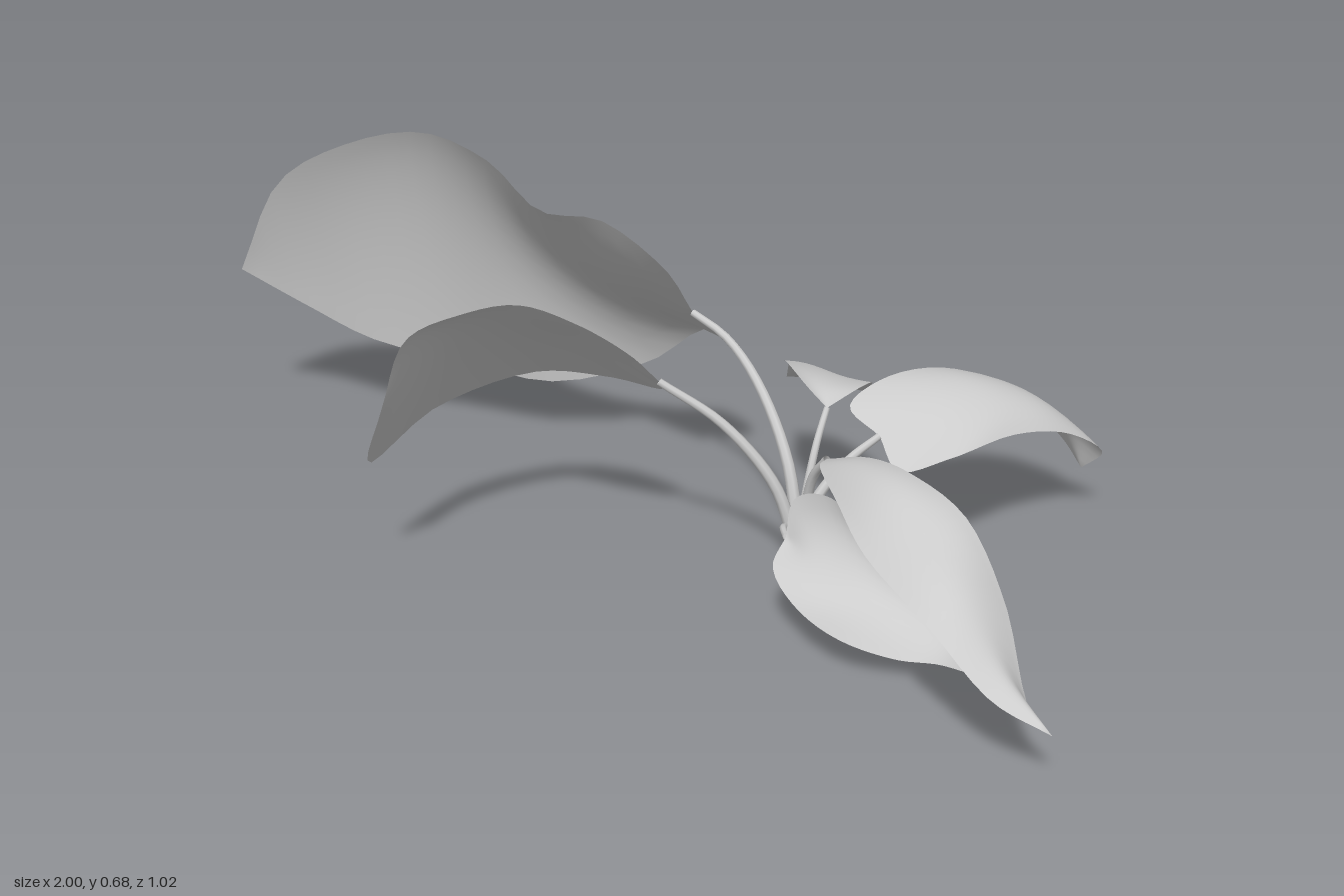
import * as THREE from 'three';
import { mergeVertices } from 'three/addons/utils/BufferGeometryUtils.js';

const leafGrey = new THREE.MeshStandardMaterial({ color: 0xcccccc, side: THREE.DoubleSide });
leafGrey.name = 'leafGrey';

const curve = (pts) => new THREE.CatmullRomCurve3(pts.map((p) => new THREE.Vector3(...p)));

// Blade lofted across three rails: one edge, the midrib and the other edge.
// The edges start at the stem end and meet the midrib again at the tip.
function bladeGeometry(edgeA, midrib, edgeB, rows = 28, cols = 12) {
  const first = midrib[0], tip = midrib[midrib.length - 1];
  const rails = [[first, ...edgeA, tip], midrib, [first, ...edgeB, tip]].map(curve);
  const position = [], index = [];
  for (let i = 0; i <= rows; i++) {
    const [a, m, b] = rails.map((r) => r.getPoint(i / rows));
    for (let j = 0; j <= cols; j++) {
      // quadratic through the three rail points
      const s = (j / cols) * 2 - 1;
      const p = new THREE.Vector3()
        .addScaledVector(a, (s * (s - 1)) / 2)
        .addScaledVector(m, 1 - s * s)
        .addScaledVector(b, (s * (s + 1)) / 2);
      position.push(p.x, p.y, p.z);
    }
  }
  const w = cols + 1;
  for (let i = 0; i < rows; i++) {
    for (let j = 0; j < cols; j++) {
      const k = i * w + j;
      index.push(k, k + 1, k + w, k + 1, k + w + 1, k + w);
    }
  }
  let g = new THREE.BufferGeometry();
  g.setAttribute('position', new THREE.Float32BufferAttribute(position, 3));
  g.setIndex(index);
  g = mergeVertices(g, 1e-5);
  g.computeVertexNormals();
  return g;
}

// Round stem that thins towards the blade
function stemGeometry(pts, r0, r1) {
  const path = curve(pts), rings = 18, sides = 8;
  const g = new THREE.TubeGeometry(path, rings, 1, sides, false);
  const pos = g.attributes.position, v = new THREE.Vector3();
  for (let i = 0; i < pos.count; i++) {
    const t = Math.floor(i / (sides + 1)) / rings;
    const c = path.getPointAt(t);
    v.fromBufferAttribute(pos, i).sub(c).multiplyScalar(r0 + (r1 - r0) * t).add(c);
    pos.setXYZ(i, v.x, v.y, v.z);
  }
  return g;
}

function makeLeaf(name, { stem, edgeA, midrib, edgeB, r0 = 0.013, r1 = 0.007 }) {
  const leaf = new THREE.Group();
  leaf.name = name;
  const blade = new THREE.Mesh(bladeGeometry(edgeA, midrib, edgeB), leafGrey);
  blade.name = name + 'Blade';
  const stalk = new THREE.Mesh(stemGeometry([...stem, midrib[0]], r0, r1), leafGrey);
  stalk.name = name + 'Stem';
  leaf.add(blade, stalk);
  return leaf;
}

export function createModel() {
  const plant = new THREE.Group();
  plant.name = 'plant';

  // Large leaf reaching far to one side, turned on edge
  plant.add(makeLeaf('largeLeaf', {
    stem: [[0.33, 0.06, 0.03], [0.29, 0.2, 0.0], [0.2, 0.31, -0.06], [0.1, 0.37, -0.115]],
    midrib: [[0.02, 0.4, -0.13], [-0.06, 0.41, -0.145], [-0.16, 0.41, -0.165], [-0.3, 0.44, -0.175],
      [-0.45, 0.48, -0.172], [-0.6, 0.48, -0.165], [-0.76, 0.44, -0.137], [-0.9, 0.39, -0.11], [-1, 0.33, -0.055]],
    edgeA: [[0.02, 0.53, -0.01], [-0.1, 0.6, 0], [-0.25, 0.59, -0.02], [-0.4, 0.65, -0.075],
      [-0.57, 0.675, -0.1], [-0.74, 0.63, -0.08], [-0.9, 0.53, -0.065]],
    edgeB: [[0.04, 0.28, -0.29], [-0.08, 0.27, -0.36], [-0.2, 0.18, -0.35], [-0.38, 0.13, -0.265],
      [-0.57, 0.15, -0.225], [-0.76, 0.18, -0.175], [-0.9, 0.24, -0.14]],
  }));

  // Leaf curling towards the front
  plant.add(makeLeaf('curledFrontLeaf', {
    stem: [[0.33, 0.06, 0.04], [0.29, 0.18, 0.055], [0.2, 0.29, 0.085]],
    midrib: [[0.09, 0.365, 0.125], [0.01, 0.4, 0.14], [-0.09, 0.43, 0.165], [-0.17, 0.445, 0.22],
      [-0.22, 0.445, 0.3], [-0.25, 0.42, 0.39], [-0.265, 0.37, 0.48]],
    edgeA: [[0.07, 0.44, 0.2], [0, 0.5, 0.255], [-0.1, 0.53, 0.29], [-0.17, 0.525, 0.37], [-0.22, 0.5, 0.465]],
    edgeB: [[0.07, 0.33, 0.08], [-0.07, 0.31, 0.035], [-0.2, 0.31, 0.08], [-0.32, 0.27, 0.23], [-0.335, 0.23, 0.43]],
  }));

  // Long arching leaf to the front
  plant.add(makeLeaf('archingFrontLeaf', {
    stem: [[0.34, 0.06, 0.045], [0.355, 0.15, 0.055], [0.375, 0.22, 0.07]],
    midrib: [[0.41, 0.27, 0.09], [0.49, 0.31, 0.16], [0.59, 0.322, 0.25], [0.7, 0.295, 0.33],
      [0.8, 0.25, 0.4], [0.9, 0.155, 0.46], [1, 0.095, 0.505]],
    edgeA: [[0.5, 0.305, 0.12], [0.61, 0.325, 0.185], [0.74, 0.3, 0.25], [0.85, 0.21, 0.34], [0.94, 0.1, 0.45]],
    edgeB: [[0.42, 0.28, 0.14], [0.51, 0.28, 0.26], [0.62, 0.255, 0.38], [0.78, 0.21, 0.48], [0.9, 0.13, 0.51]],
  }));

  // Low leaf facing the front
  plant.add(makeLeaf('lowFrontLeaf', {
    stem: [[0.335, 0.065, 0.045], [0.335, 0.11, 0.08], [0.345, 0.135, 0.125]],
    midrib: [[0.37, 0.14, 0.165], [0.43, 0.135, 0.2], [0.5, 0.125, 0.213], [0.58, 0.105, 0.218],
      [0.66, 0.085, 0.222], [0.72, 0.055, 0.222], [0.75, 0.0, 0.225]],
    edgeA: [[0.37, 0.2, 0.14], [0.44, 0.235, 0.16], [0.55, 0.21, 0.2], [0.66, 0.165, 0.213], [0.735, 0.1, 0.213]],
    edgeB: [[0.375, 0.11, 0.225], [0.45, 0.08, 0.29], [0.56, 0.065, 0.338], [0.65, 0.04, 0.31], [0.71, 0.025, 0.265]],
    r0: 0.009, r1: 0.006,
  }));

  // Long leaf arching to the back
  plant.add(makeLeaf('archingBackLeaf', {
    stem: [[0.34, 0.06, 0.03], [0.35, 0.14, 0.005], [0.39, 0.21, -0.045]],
    midrib: [[0.43, 0.25, -0.09], [0.47, 0.275, -0.16], [0.52, 0.29, -0.24], [0.57, 0.285, -0.32],
      [0.62, 0.25, -0.4], [0.66, 0.18, -0.46], [0.68, 0.085, -0.49]],
    edgeA: [[0.355, 0.28, -0.12], [0.375, 0.305, -0.22], [0.44, 0.295, -0.35], [0.53, 0.235, -0.46], [0.63, 0.13, -0.51]],
    edgeB: [[0.49, 0.21, -0.045], [0.565, 0.23, -0.1], [0.63, 0.235, -0.25], [0.69, 0.205, -0.37], [0.73, 0.14, -0.46]],
  }));

  // Small leaf at the back, sloping down away from the stem
  plant.add(makeLeaf('smallBackLeaf', {
    stem: [[0.33, 0.06, 0.03], [0.332, 0.16, 0.005], [0.333, 0.24, -0.03]],
    midrib: [[0.33, 0.29, -0.075], [0.3, 0.305, -0.13], [0.265, 0.3, -0.2], [0.215, 0.275, -0.28],
      [0.16, 0.24, -0.34], [0.09, 0.19, -0.395]],
    edgeA: [[0.28, 0.31, -0.1], [0.215, 0.33, -0.145], [0.165, 0.295, -0.23], [0.125, 0.25, -0.33]],
    edgeB: [[0.36, 0.31, -0.14], [0.345, 0.285, -0.24], [0.28, 0.22, -0.335], [0.18, 0.2, -0.4]],
    r0: 0.01, r1: 0.006,
  }));

  return plant;
}
